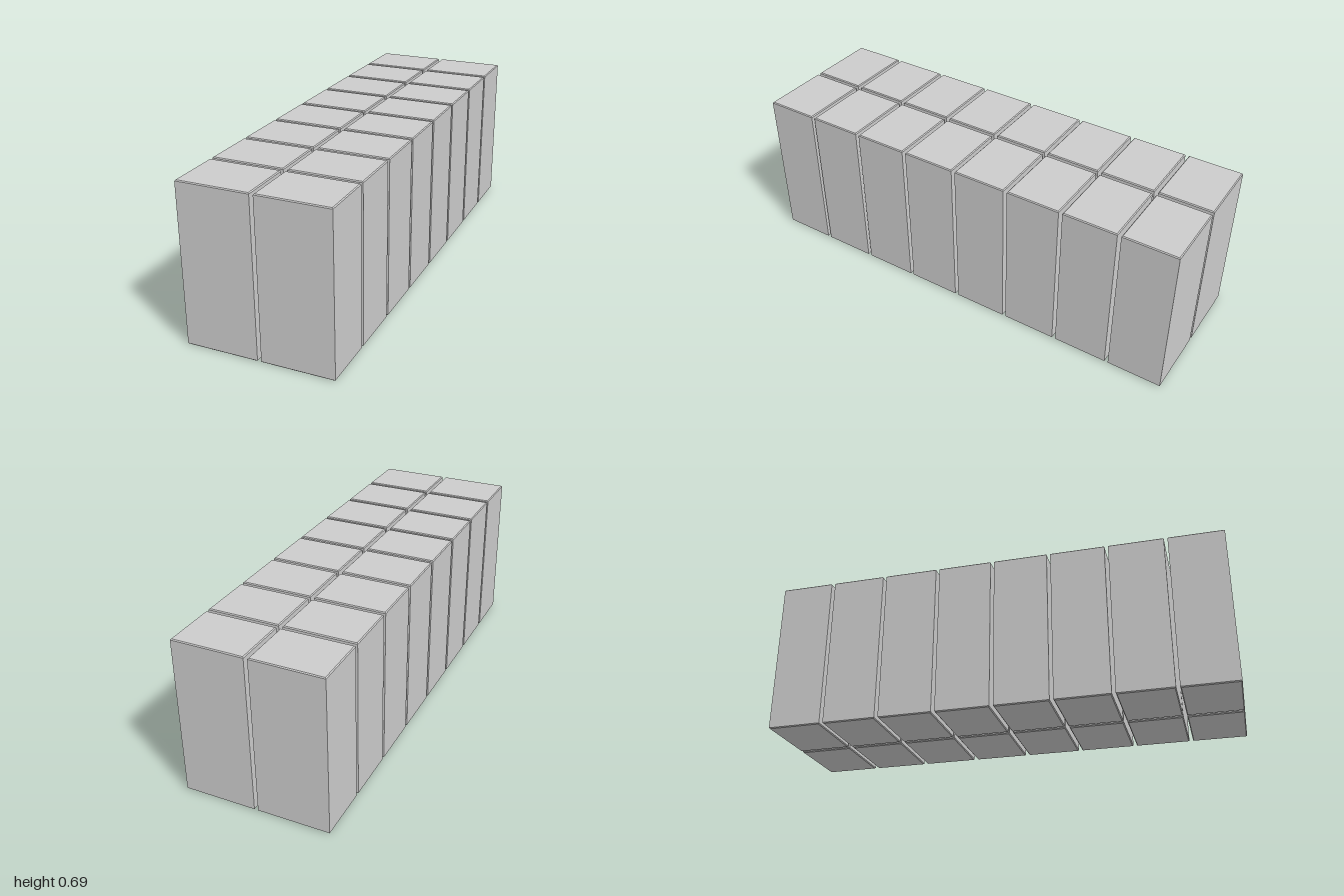
import * as THREE from 'three';

const W = 0.307, H = 0.686, D = 0.236; // size of one block
const GAP = 0.016, BEVEL = 0.004;
const ROWS = 8;

// Upright block with sharp vertical edges and chamfered top and bottom rims
function blockGeometry() {
  const x = W / 2 - BEVEL, y = D / 2 - BEVEL;
  const shape = new THREE.Shape([
    new THREE.Vector2(-x, -y), new THREE.Vector2(x, -y),
    new THREE.Vector2(x, y), new THREE.Vector2(-x, y),
  ]);
  const geo = new THREE.ExtrudeGeometry(shape, {
    depth: H - 2 * BEVEL, bevelEnabled: true, bevelSegments: 1,
    bevelSize: BEVEL, bevelThickness: BEVEL,
  });
  geo.rotateX(-Math.PI / 2);
  geo.translate(0, BEVEL, 0);
  return geo;
}

export function createModel() {
  const model = new THREE.Group();
  model.name = 'blockGrid';
  const geo = blockGeometry();
  const material = new THREE.MeshStandardMaterial({ color: 0xcccccc, flatShading: true });

  // Two columns of eight blocks with narrow gaps between them
  for (const side of [-1, 1]) {
    const column = new THREE.Group();
    column.name = side > 0 ? 'leftColumn' : 'rightColumn';
    for (let i = 0; i < ROWS; i++) {
      const block = new THREE.Mesh(geo, material);
      block.name = `block${i + 1}`;
      block.position.set(side * (W + GAP) / 2, 0, (i - (ROWS - 1) / 2) * (D + GAP));
      column.add(block);
    }
    model.add(column);
  }
  return model;
}
